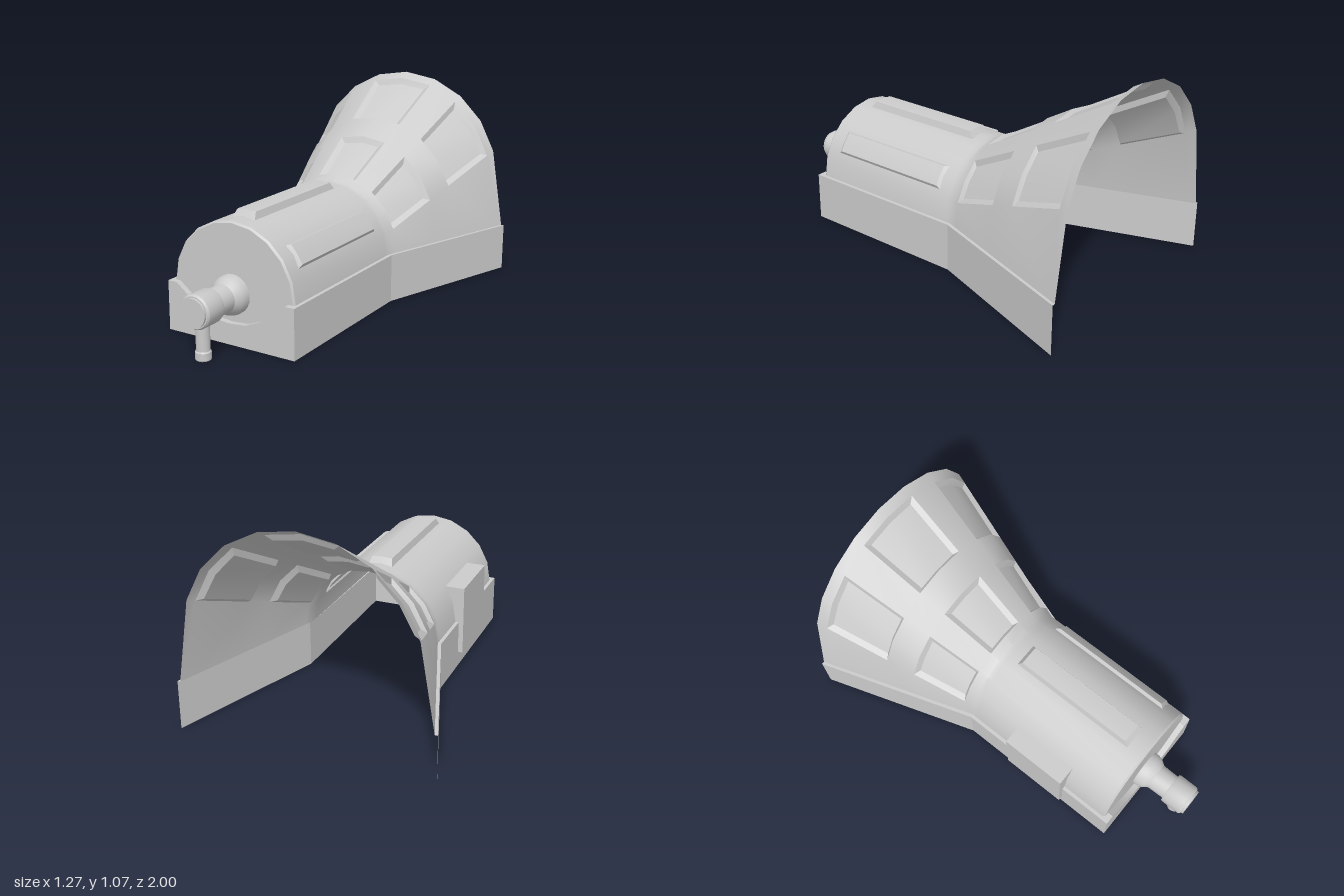
import * as THREE from 'three';
import { toCreasedNormals } from 'three/addons/utils/BufferGeometryUtils.js';

const material = new THREE.MeshStandardMaterial({ color: 0xcccccc, side: THREE.DoubleSide });
const RAD = Math.PI / 180;
const BASE_Y = 0.25;

function addMesh(group, name, geometry, crease = 0.5) {
  const mesh = new THREE.Mesh(toCreasedNormals(geometry, crease), material);
  mesh.name = name;
  group.add(mesh);
  return mesh;
}

// Geometry from a list of four-cornered faces
function quads(list) {
  const pos = [];
  for (const [a, b, c, d] of list) for (const p of [a, b, c, a, c, d]) pos.push(...p);
  const g = new THREE.BufferGeometry();
  g.setAttribute('position', new THREE.Float32BufferAttribute(pos, 3));
  return g;
}

// Arch section at z: its centre rises and its radius grows along the flare
const flare = (z) => Math.max(0, (-0.18 - z) / 0.82);
const arch = (z) => {
  const t = flare(z);
  return { cy: 0.25 + 0.24 * t, r: z > 0.695 ? 0.333 : 0.342 + 0.238 * t, w: z > 0.695 ? 0.333 : 0.342 + 0.278 * t };
};

// Point on the shell; angle 0 is the crown, +-90 the foot of the side wall
function shellPoint(angle, z, off = 0) {
  const { cy, r, w } = arch(z);
  if (Math.abs(angle) === 90) return [Math.sign(angle) * w, BASE_Y, z];
  return [Math.sin(angle * RAD) * (r + off), cy + Math.cos(angle * RAD) * (r + off), z];
}

// Raised or sunken panel with sloping walls, following the shell
function panelFaces(a0, a1, z0, z1, off, rim, inset, zInset) {
  const ring = (o, da, dz) => [z0 - dz, z1 + dz].map((z) => {
    const d = da / arch(z).r / RAD;
    return [a0 + d, (a0 + a1) / 2, a1 - d].map((a) => shellPoint(a, z, o));
  });
  const [o0, o1] = ring(rim, 0, 0);
  const [i0, i1] = ring(off, inset, zInset);
  const faces = [];
  for (let k = 0; k < 2; k++) {
    faces.push([i0[k], i0[k + 1], i1[k + 1], i1[k]]);
    faces.push([o0[k], o0[k + 1], i0[k + 1], i0[k]]);
    faces.push([i1[k], i1[k + 1], o1[k + 1], o1[k]]);
  }
  faces.push([o0[0], i0[0], i1[0], o1[0]], [i0[2], o0[2], o1[2], i1[2]]);
  return faces;
}

export function createModel() {
  const group = new THREE.Group();

  // Arched shell, open where the sunken flare panels sit
  const angles = [-90, -72, -54, -36, -18, 0, 18, 36, 54, 72, 90];
  const stations = [0.7, 0.69, -0.15, -0.18, -0.23, -0.5, -0.64, -0.95, -1];
  const panelAngles = [[-72, -36], [-18, 18], [36, 72]];
  const panelRows = [[-0.23, -0.5], [-0.64, -0.95]];
  const isPanel = (a, z) => panelAngles.some(([l, h]) => a > l && a < h) && panelRows.some(([f, b]) => z < f && z > b);
  const shell = [];
  for (let j = 0; j < stations.length - 1; j++) {
    for (let i = 0; i < angles.length - 1; i++) {
      const [a, b, z, y] = [angles[i], angles[i + 1], stations[j], stations[j + 1]];
      if (isPanel((a + b) / 2, (z + y) / 2)) continue;
      shell.push([shellPoint(a, z), shellPoint(b, z), shellPoint(b, y), shellPoint(a, y)]);
    }
  }
  addMesh(group, 'shell', quads(shell), 0.56);

  // Sunken panels in the flare
  for (const [z0, z1] of panelRows)
    for (const [a0, a1] of panelAngles)
      addMesh(group, 'flarePanel', quads(panelFaces(a0, a1, z0, z1, -0.025, 0, 0.024, 0.015)));

  // Ribs along the body
  addMesh(group, 'topRib', quads(panelFaces(-11.5, 11.5, 0.61, -0.1, 0.028, -0.012, 0.02, 0.03)), 0.2);
  addMesh(group, 'sideRib', quads(panelFaces(43, 66, 0.62, -0.1, 0.01, -0.012, 0.018, 0.03)), 0.2);

  // Front cap and the plate below it share a dipped edge
  const dip = [[0.31, 0.25], [0.24, 0.197], [0.17, 0.145], [0.09, 0.113], [0, 0.105],
    [-0.09, 0.113], [-0.17, 0.145], [-0.24, 0.197], [-0.31, 0.25]];
  const toShape = (pts) => new THREE.Shape(pts.map(([x, y]) => new THREE.Vector2(x, y)));
  const crown = angles.map((a) => shellPoint(a, 0.7));
  addMesh(group, 'frontCap', new THREE.ShapeGeometry(toShape([...crown, ...dip])).translate(0, 0, 0.7));
  const plate = toShape([[-0.36, 0], [0.36, 0], [0.36, 0.25], ...dip, [-0.36, 0.25]]);
  addMesh(group, 'frontPlate', new THREE.ExtrudeGeometry(plate, { depth: 0.03, bevelEnabled: false }).translate(0, 0, 0.7));

  // Skirt walls with a narrow ledge up to the shell
  const path = [[0.36, 0.73], [0.36, -0.18], [0.635, -1]];
  for (const s of [-1, 1]) {
    const faces = [];
    for (let k = 0; k < 2; k++) {
      const [[x0, z0], [x1, z1]] = [path[k], path[k + 1]];
      const corners = (x, z) => [[s * x, 0, z], [s * x, BASE_Y, z], [s * arch(z).w, BASE_Y, z]];
      const [p, q] = [corners(x0, z0), corners(x1, z1)];
      for (let n = 0; n < 2; n++) {
        const f = [p[n], q[n], q[n + 1], p[n + 1]];
        faces.push(s > 0 ? f : f.reverse());
      }
    }
    addMesh(group, s > 0 ? 'leftSkirt' : 'rightSkirt', quads(faces), 0.2);
  }

  // Box on the right side
  addMesh(group, 'sideBox', new THREE.BoxGeometry(0.1, 0.36, 0.35).translate(-0.335, 0.26, 0.265));

  // Front fitting: flange, neck and knuckle
  const lathe = (pts) => new THREE.LatheGeometry(pts.map(([r, y]) => new THREE.Vector2(r, y)), 24);
  const fitting = lathe([[0.097, 0.68], [0.097, 0.725], [0.09, 0.75], [0.07, 0.778], [0.068, 0.87], [0.08, 0.87],
    [0.083, 0.878], [0.083, 0.978], [0.076, 0.988], [0.07, 0.988], [0.07, 1], [0, 1]]);
  addMesh(group, 'frontFitting', fitting.rotateX(Math.PI / 2).translate(0, 0.242, 0));

  // Drain pipe down to the floor
  const drain = lathe([[0, 0], [0.034, 0], [0.038, 0.005], [0.038, 0.04], [0.033, 0.046], [0.033, 0.2]]);
  addMesh(group, 'drainPipe', drain.translate(0, 0, 0.928));

  return group;
}
